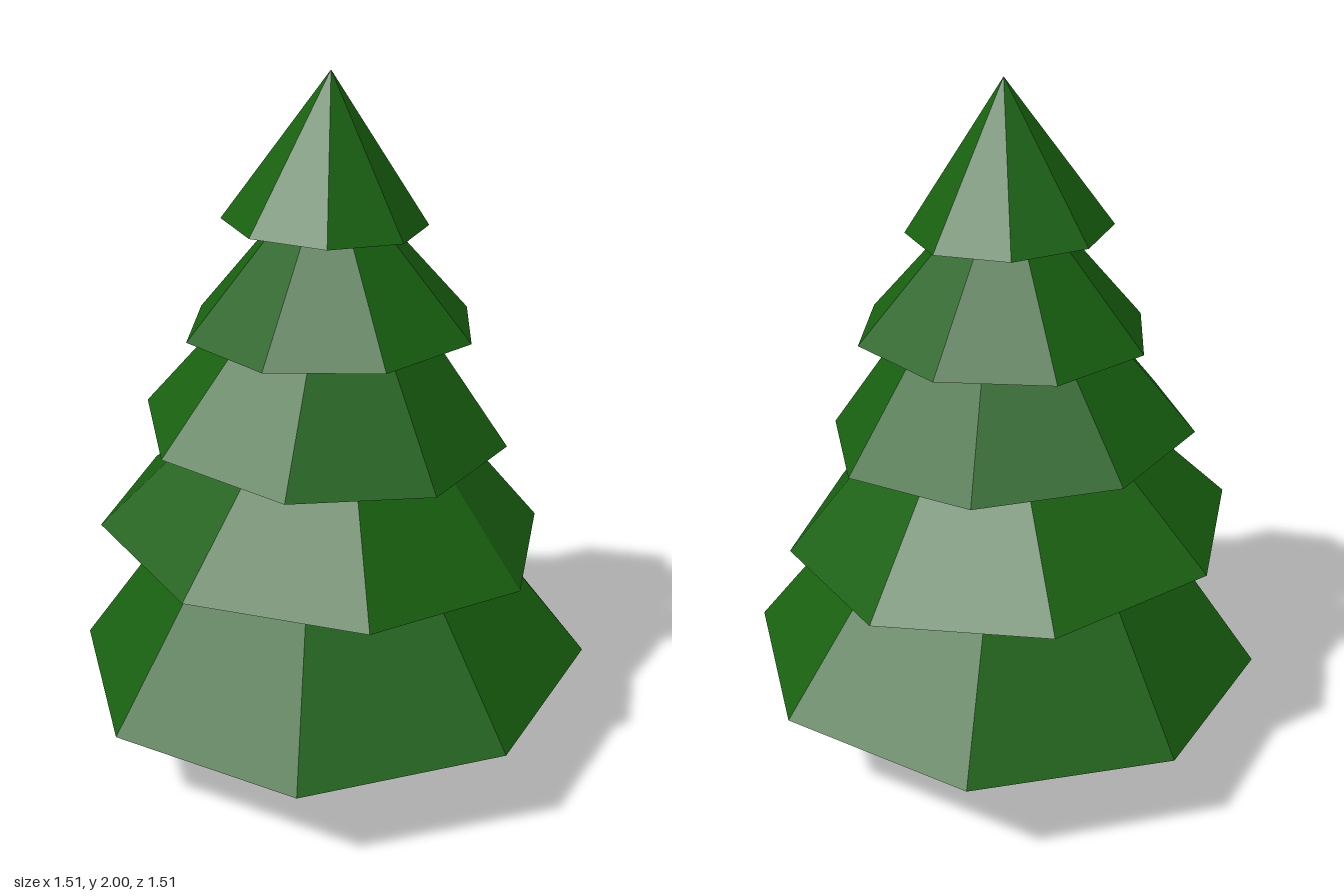
import * as THREE from 'three';

export function createModel() {
  const tree = new THREE.Group();
  tree.name = 'pineTree';

  const leafMat = new THREE.MeshStandardMaterial({ color: 0x186010, flatShading: true, side: THREE.DoubleSide });
  const barkMat = new THREE.MeshStandardMaterial({ color: 0x2a140f, flatShading: true });
  const up = new THREE.Vector3(0, 1, 0);

  // Trunk: octagonal post reaching up inside the lowest tier
  const trunk = new THREE.Mesh(new THREE.CylinderGeometry(0.19, 0.19, 0.64, 8), barkMat);
  trunk.name = 'trunk';
  trunk.position.set(-0.01, 0.32, 0.005);
  tree.add(trunk);

  // Foliage: open eight-sided cones, each turned and tipped a little.
  // x, y: rim centre; r, h: cone size; turn: degrees; sx, sz: slope of the rim plane
  const tiers = [
    { x: 0, y: 0.288, r: 0.757, h: 1.0, turn: 0, sx: 0.027, sz: -0.027 },
    { x: -0.02, y: 0.698, r: 0.65, h: 0.69, turn: 17.3, sx: -0.065, sz: 0 },
    { x: -0.02, y: 1.005, r: 0.525, h: 0.67, turn: -4, sx: -0.06, sz: -0.027 },
    { x: 0, y: 1.303, r: 0.415, h: 0.47, turn: -18.4, sx: 0.01, sz: -0.01 },
    { x: -0.016, y: 1.595, r: 0.283, h: 0.405, turn: 8, sx: -0.04, sz: 0 },
  ];
  tiers.forEach((t, i) => {
    const geo = new THREE.ConeGeometry(t.r, t.h, 8, 1, true);
    geo.translate(0, t.h / 2, 0);
    geo.rotateY(THREE.MathUtils.degToRad(t.turn));
    const tier = new THREE.Mesh(geo, leafMat);
    tier.name = `foliageTier${i + 1}`;
    tier.position.set(t.x, t.y, 0);
    tier.quaternion.setFromUnitVectors(up, new THREE.Vector3(-t.sx, 1, -t.sz).normalize());
    tree.add(tier);
  });

  return tree;
}
